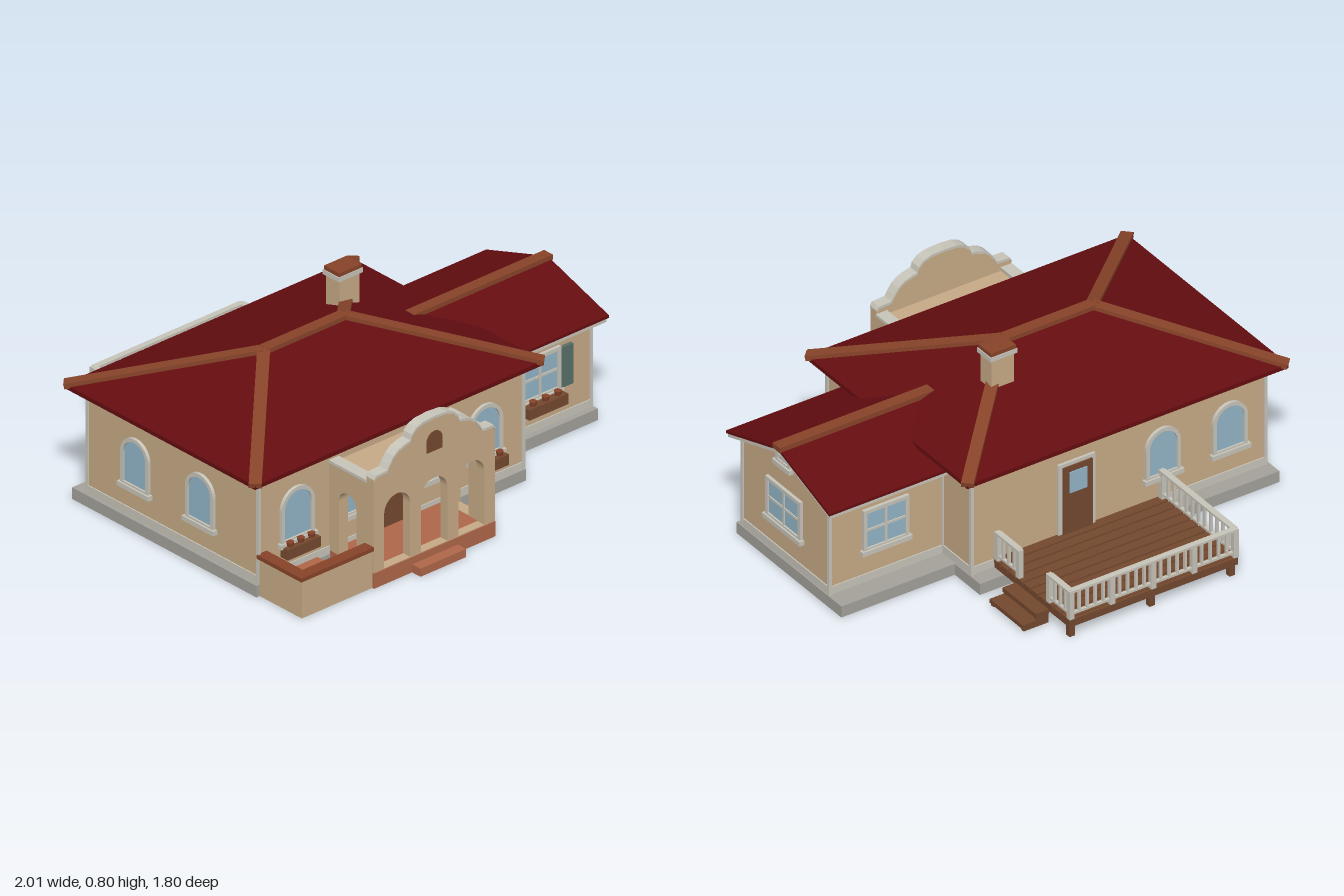
import * as THREE from 'three';

const mat = (name, color, side = THREE.FrontSide) => {
  const m = new THREE.MeshStandardMaterial({ color, side });
  m.name = name;
  return m;
};
const M = {
  wall: mat('tan stucco', 0xc8ab87),
  trim: mat('light trim', 0xc8c5ba),
  stone: mat('foundation grey', 0xa5a29b),
  roof: mat('dark red roof', 0x650d10),
  cap: mat('rust tile', 0x884429),
  terra: mat('terracotta', 0xb0674a),
  glass: mat('pale blue glass', 0x93b6c8),
  shutter: mat('green shutter', 0x5a7069),
  wood: mat('brown wood', 0x74492f),
};

// Box given by its min and max on each axis
function box(parent, name, m, x0, x1, y0, y1, z0, z1) {
  const mesh = new THREE.Mesh(new THREE.BoxGeometry(x1 - x0, y1 - y0, z1 - z0), m);
  mesh.position.set((x0 + x1) / 2, (y0 + y1) / 2, (z0 + z1) / 2);
  mesh.name = name;
  parent.add(mesh);
  return mesh;
}
// Square bar from a to b
function bar(parent, name, m, a, b, w, h) {
  const A = new THREE.Vector3(...a), B = new THREE.Vector3(...b);
  const mesh = new THREE.Mesh(new THREE.BoxGeometry(w, h, A.distanceTo(B)), m);
  mesh.position.copy(A).lerp(B, 0.5);
  mesh.lookAt(B);
  mesh.name = name;
  parent.add(mesh);
}
function extrude(parent, name, m, shape, depth, z = 0) {
  const geo = new THREE.ExtrudeGeometry(shape, { depth, bevelEnabled: false, curveSegments: 10 });
  const mesh = new THREE.Mesh(geo, m);
  mesh.position.z = z;
  mesh.name = name;
  parent.add(mesh);
  return mesh;
}
// Extrude a (z, y) outline along x from x0 to x1
function extrudeX(parent, name, m, shape, x0, x1) {
  const mesh = extrude(parent, name, m, shape, x1 - x0);
  mesh.rotation.y = -Math.PI / 2;
  mesh.position.x = x1;
}
const poly = pts => new THREE.Shape(pts.map(p => new THREE.Vector2(...p)));
// Opening outline, round headed or square
function opening(cx, w, y0, y1, arched, C = THREE.Shape) {
  const s = new C(), r = w / 2;
  s.moveTo(cx - r, y0);
  s.lineTo(cx + r, y0);
  if (arched) s.absarc(cx, y1 - r, r, 0, Math.PI, false);
  else { s.lineTo(cx + r, y1); s.lineTo(cx - r, y1); }
  s.closePath();
  return s;
}
// Framed window facing +z, turned by angle about y
function makeWindow(parent, name, x, z, angle, w, y0, y1, arched) {
  const g = new THREE.Group();
  g.name = name;
  const frame = opening(0, w, y0, y1, arched);
  frame.holes.push(opening(0, w - 0.032, y0 + 0.016, y1 - 0.016, arched, THREE.Path));
  extrude(g, 'windowFrame', M.trim, frame, 0.014);
  extrude(g, 'windowGlass', M.glass, opening(0, w - 0.02, y0 + 0.01, y1 - 0.01, arched), 0.006);
  box(g, 'windowSill', M.trim, -w / 2 - 0.01, w / 2 + 0.01, y0 - 0.012, y0 + 0.008, 0, 0.022);
  if (!arched) {
    const c = (y0 + y1) / 2;
    box(g, 'muntin', M.trim, -0.005, 0.005, y0, y1, 0, 0.011);
    box(g, 'muntin', M.trim, -w / 2, w / 2, c - 0.005, c + 0.005, 0, 0.011);
  }
  g.position.set(x, 0, z);
  g.rotation.y = angle;
  parent.add(g);
}
function flowerBox(parent, x, y, z, w) {
  const g = new THREE.Group();
  g.name = 'flowerBox';
  box(g, 'planter', M.wood, -w / 2, w / 2, 0, 0.045, 0, 0.04);
  for (const i of [-1, 0, 1]) {
    const pot = new THREE.Mesh(new THREE.CylinderGeometry(0.016, 0.011, 0.022, 10), M.cap);
    pot.position.set(i * w * 0.32, 0.054, 0.02);
    pot.name = 'pot';
    g.add(pot);
  }
  g.position.set(x, y, z);
  parent.add(g);
}
// Foundation, base band and corner boards around a rectangular block
function blockTrim(g, x0, x1, z0, z1, top) {
  box(g, 'baseBand', M.trim, x0 - 0.005, x1 + 0.005, 0.05, 0.085, z0 - 0.005, z1 + 0.005);
  for (const x of [x0, x1]) for (const z of [z0, z1])
    box(g, 'cornerBoard', M.trim, x - 0.007, x + 0.007, 0.05, top, z - 0.007, z + 0.007);
}

function buildHouse(g) {
  box(g, 'mainFoundation', M.stone, -0.945, 0.44, 0, 0.05, -0.45, 0.602);
  box(g, 'wingFoundation', M.stone, 0.43, 0.965, 0, 0.05, -0.28, 0.43);
  box(g, 'mainWalls', M.wall, -0.928, 0.43, 0.05, 0.505, -0.378, 0.595);
  blockTrim(g, -0.928, 0.43, -0.378, 0.595, 0.5);
  extrudeX(g, 'wingWalls', M.wall,
    poly([[-0.185, 0.05], [0.4, 0.05], [0.4, 0.445], [0.113, 0.55], [-0.185, 0.445]]), 0.42, 0.955);
  blockTrim(g, 0.43, 0.955, -0.185, 0.4, 0.44);

  // Arched windows on the main block
  const P = Math.PI;
  for (const x of [-0.735, -0.445, -0.06, 0.233])
    makeWindow(g, 'frontArchedWindow', x, 0.595, 0, 0.17, 0.18, 0.41, true);
  for (const x of [-0.76, -0.45]) makeWindow(g, 'backArchedWindow', x, -0.378, P, 0.16, 0.18, 0.4, true);
  for (const z of [-0.1, 0.27]) makeWindow(g, 'leftArchedWindow', -0.928, z, -P / 2, 0.16, 0.18, 0.4, true);
  makeWindow(g, 'rightArchedWindow', 0.43, 0.42, P / 2, 0.15, 0.18, 0.4, true);
  // Square windows on the wing
  makeWindow(g, 'wingFrontWindow', 0.687, 0.4, 0, 0.21, 0.19, 0.38, false);
  makeWindow(g, 'wingBackWindow', 0.7, -0.185, P, 0.21, 0.19, 0.38, false);
  makeWindow(g, 'gableWindow', 0.955, 0.113, P / 2, 0.235, 0.195, 0.375, false);
  makeWindow(g, 'atticVent', 0.955, 0.115, P / 2, 0.095, 0.48, 0.545, false);
  for (const s of [-1, 1]) {
    const x = 0.685 + s * 0.137;
    box(g, 'shutter', M.shutter, x - 0.03, x + 0.03, 0.197, 0.372, 0.4, 0.416);
  }
  flowerBox(g, -0.735, 0.13, 0.602, 0.17);
  flowerBox(g, 0.233, 0.13, 0.602, 0.17);
  flowerBox(g, 0.687, 0.148, 0.42, 0.2);

  // Front door with arched transom
  extrude(g, 'transomGlass', M.glass, opening(-0.25, 0.15, 0.07, 0.4, true), 0.007, 0.595);
  box(g, 'frontDoor', M.wood, -0.315, -0.187, 0.07, 0.31, 0.595, 0.612);
  box(g, 'doorKnob', M.cap, -0.208, -0.194, 0.24, 0.254, 0.61, 0.625);
  // Back door
  box(g, 'backDoorFrame', M.trim, -0.135, 0.035, 0.085, 0.405, -0.39, -0.375);
  box(g, 'backDoor', M.wood, -0.118, 0.018, 0.085, 0.39, -0.397, -0.38);
  box(g, 'backDoorGlass', M.glass, -0.09, -0.01, 0.27, 0.365, -0.401, -0.395);
}

function buildRoof(g) {
  // Hip roof over the main block
  const x0 = -0.99, x1 = 0.495, z0 = -0.445, z1 = 0.645, zc = 0.1, ye = 0.52, yr = 0.695;
  const A = [x0, ye, z1], B = [x1, ye, z1], C = [x1, ye, z0], D = [x0, ye, z0];
  const R = [-0.455, yr, zc], S = [-0.045, yr, zc];
  const pos = [A, B, S, A, S, R, C, D, R, C, R, S, B, C, S, D, A, R].flat();
  const geo = new THREE.BufferGeometry();
  geo.setAttribute('position', new THREE.Float32BufferAttribute(pos, 3));
  geo.computeVertexNormals();
  const hip = new THREE.Mesh(geo, M.roof);
  hip.name = 'hipRoof';
  g.add(hip);
  box(g, 'eaves', M.roof, x0, x1, 0.502, ye, z0, z1);
  for (const [a, b] of [[A, R], [D, R], [B, S], [C, S], [R, S]]) bar(g, 'ridgeTiles', M.cap, a, b, 0.05, 0.022);

  // Gable roof over the wing
  const chevron = (half, ytop, drop, t) => poly([
    [zc + 0.013 - half, ytop - drop], [zc + 0.013, ytop], [zc + 0.013 + half, ytop - drop],
    [zc + 0.013 + half, ytop - drop - t], [zc + 0.013, ytop - t], [zc + 0.013 - half, ytop - drop - t]]);
  extrudeX(g, 'gableRoof', M.roof, chevron(0.35, 0.576, 0.115, 0.012), 0.26, 0.992);
  extrudeX(g, 'gableFascia', M.trim, chevron(0.345, 0.5655, 0.1134, 0.02), 0.3, 0.985);
  bar(g, 'gableRidgeTiles', M.cap, [0.267, 0.577, 0.11], [1, 0.577, 0.11], 0.05, 0.022);

  // Chimney
  box(g, 'chimneyShaft', M.wall, 0.038, 0.142, 0.55, 0.768, -0.092, -0.016);
  box(g, 'chimneyCollar', M.trim, 0.028, 0.152, 0.765, 0.785, -0.1, -0.008);
  box(g, 'chimneyCap', M.cap, 0.032, 0.148, 0.785, 0.802, -0.097, -0.011);
}

function buildPorch(g) {
  const c = -0.2525;
  box(g, 'porchFloor', M.terra, -0.565, 0.06, 0, 0.065, 0.59, 0.852);
  box(g, 'porchStep', M.terra, -0.37, -0.135, 0, 0.035, 0.84, 0.9);

  // Curved parapet: right half of the top edge, mirrored
  const half = [[0.312, 0.47], [0.303, 0.485], [0.245, 0.488], [0.232, 0.51], [0.212, 0.538], [0.185, 0.558],
    [0.15, 0.57], [0.125, 0.575], [0.118, 0.598], [0.095, 0.62], [0.06, 0.632], [0, 0.636]];
  const top = [...half, ...half.slice(0, -1).reverse().map(([x, y]) => [-x, y])].map(([x, y]) => [x + c, y]);
  const front = poly([[c - 0.312, 0.06], [c + 0.312, 0.06], ...top]);
  for (const x of [-0.443, -0.2525, -0.062])
    front.holes.push(opening(x, 0.134, 0.068, 0.37, true, THREE.Path));
  extrude(g, 'porchFront', M.wall, front, 0.04, 0.808);
  const strip = poly([...top.map(([x, y]) => [x, y + 0.003]), ...[...top].reverse().map(([x, y]) => [x, y - 0.008])]);
  extrude(g, 'parapetCoping', M.trim, strip, 0.048, 0.804);
  extrude(g, 'parapetNiche', M.wood, opening(c, 0.08, 0.488, 0.573, true), 0.006, 0.846);

  // Side walls with an arch each
  for (const x of [-0.565, 0.012]) {
    const side = poly([[0.59, 0.06], [0.81, 0.06], [0.81, 0.445], [0.59, 0.445]]);
    side.holes.push(opening(0.7, 0.1, 0.068, 0.35, true, THREE.Path));
    extrudeX(g, 'porchSide', M.wall, side, x, x + 0.048);
    box(g, 'sideCoping', M.trim, x - 0.002, x + 0.05, 0.445, 0.457, 0.59, 0.81);
  }
  box(g, 'porchRoof', M.wall, -0.52, 0.015, 0.425, 0.44, 0.59, 0.81);

  // Walled terrace beside the porch
  box(g, 'terraceFloor', M.terra, -0.9, -0.63, 0, 0.06, 0.6, 0.81);
  box(g, 'terraceFrontWall', M.wall, -0.928, -0.565, 0, 0.165, 0.808, 0.842);
  box(g, 'terraceSideWall', M.wall, -0.928, -0.894, 0, 0.165, 0.595, 0.81);
  box(g, 'terraceFrontCap', M.cap, -0.937, -0.565, 0.163, 0.18, 0.8, 0.85);
  box(g, 'terraceSideCap', M.cap, -0.937, -0.886, 0.163, 0.18, 0.595, 0.8);
}

function buildDeck(g) {
  for (let i = 0; i < 10; i++) {
    const z = -0.4 - i * 0.051;
    box(g, 'deckBoard', M.wood, -0.45, 0.33, 0.072, 0.086, z - 0.021, z + 0.021);
  }
  for (let i = 0; i < 9; i++) {
    const x = -0.44 + i * 0.095;
    box(g, 'joist', M.wood, x - 0.008, x + 0.008, 0.05, 0.072, -0.885, -0.38);
  }
  box(g, 'rimBeam', M.wood, -0.45, 0.33, 0.052, 0.084, -0.895, -0.882);
  for (const x of [-0.43, -0.06, 0.31]) box(g, 'deckLeg', M.wood, x - 0.012, x + 0.012, 0, 0.06, -0.884, -0.86);

  // Railing run with end posts and balusters
  const rail = (xa, za, xb, zb) => {
    const len = Math.hypot(xb - xa, zb - za), n = Math.max(2, Math.round(len / 0.04));
    bar(g, 'topRail', M.trim, [xa, 0.21, za], [xb, 0.21, zb], 0.026, 0.01);
    bar(g, 'bottomRail', M.trim, [xa, 0.108, za], [xb, 0.108, zb], 0.014, 0.01);
    for (let i = 0; i <= n; i++) {
      const x = xa + (xb - xa) * i / n, z = za + (zb - za) * i / n;
      const end = i === 0 || i === n, r = end ? 0.011 : 0.0055;
      box(g, end ? 'railPost' : 'baluster', M.trim, x - r, x + r, end ? 0.085 : 0.108, 0.213, z - r, z + r);
    }
  };
  const xs = [-0.442, -0.25, -0.06, 0.13, 0.318];
  for (let i = 0; i < 4; i++) rail(xs[i], -0.885, xs[i + 1], -0.885);
  rail(-0.442, -0.885, -0.442, -0.395);
  rail(0.318, -0.885, 0.318, -0.745);
  rail(0.318, -0.54, 0.318, -0.395);

  // Steps down from the deck
  box(g, 'upperStep', M.wood, 0.33, 0.39, 0.04, 0.06, -0.755, -0.53);
  box(g, 'lowerStep', M.wood, 0.38, 0.45, 0.012, 0.03, -0.755, -0.53);
  for (const z of [-0.745, -0.54]) {
    box(g, 'stepStringer', M.wood, 0.33, 0.385, 0, 0.045, z - 0.008, z + 0.008);
    box(g, 'stepStringer', M.wood, 0.385, 0.445, 0, 0.02, z - 0.008, z + 0.008);
  }
}

export function createModel() {
  const model = new THREE.Group();
  model.name = 'house';
  for (const [name, build] of [['houseBody', buildHouse], ['roofs', buildRoof], ['porch', buildPorch], ['backDeck', buildDeck]]) {
    const g = new THREE.Group();
    g.name = name;
    build(g);
    model.add(g);
  }
  return model;
}
